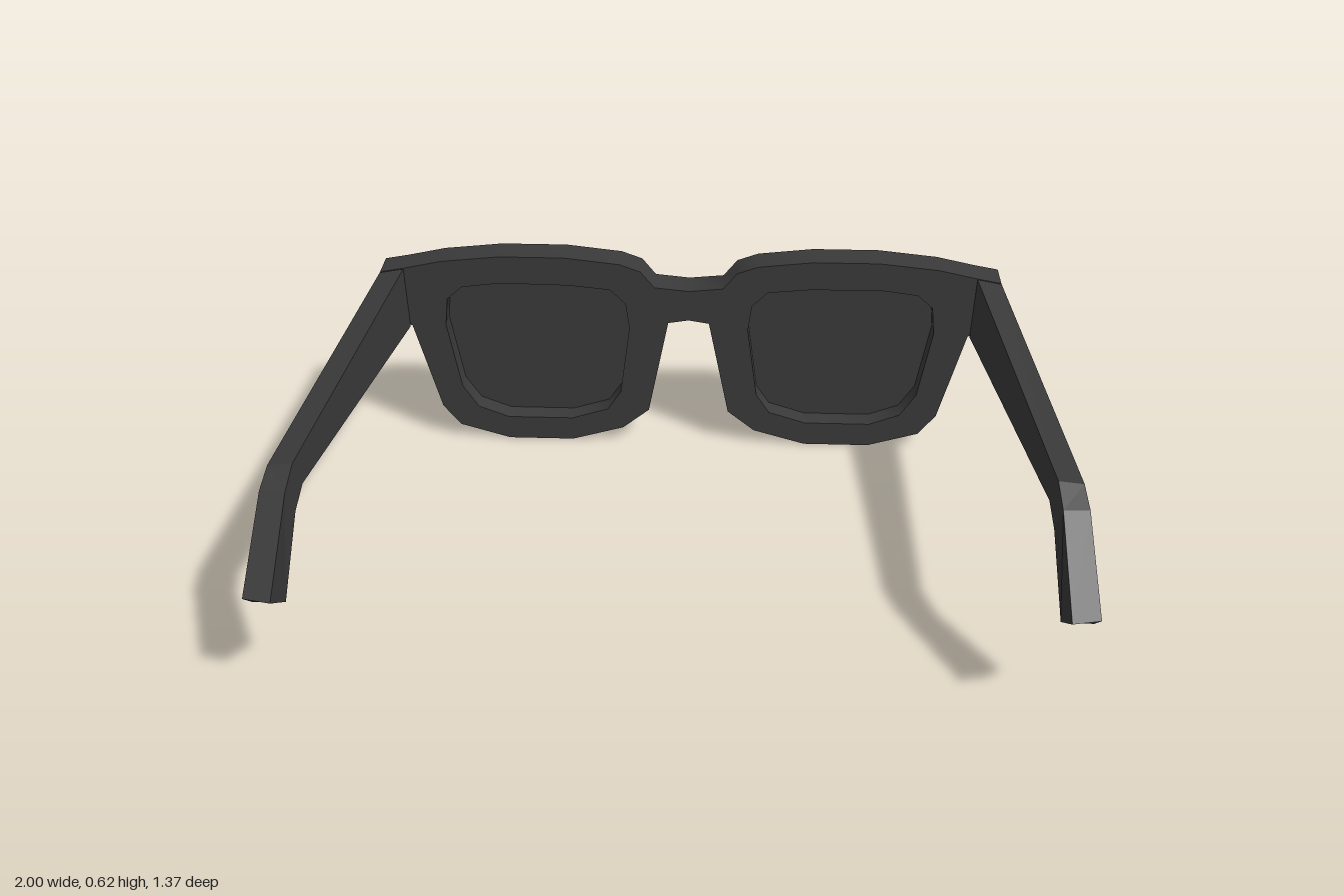
import * as THREE from 'three';
import { toCreasedNormals } from 'three/addons/utils/BufferGeometryUtils.js';

// Half outline of the front frame, from the top of the bridge round to its underside
const HALF_FRAME = [
  [0, 0.515], [0.1, 0.525], [0.14, 0.575], [0.2, 0.597], [0.36, 0.615], [0.55, 0.615],
  [0.72, 0.597], [0.83, 0.573], [0.9, 0.56], [0.9, 0.42], [0.82, 0.385], [0.75, 0.11],
  [0.7, 0.045], [0.55, 0], [0.355, 0], [0.2, 0.045], [0.12, 0.11], [0.06, 0.41], [0, 0.42],
];

// Opening for one lens
const OPENING = [
  [0.35, 0.527], [0.55, 0.53], [0.665, 0.515], [0.71, 0.475], [0.72, 0.39], [0.685, 0.18],
  [0.64, 0.11], [0.55, 0.075], [0.355, 0.075], [0.245, 0.11], [0.205, 0.17],
  [0.175, 0.39], [0.185, 0.47], [0.23, 0.515],
];

// Temple arm cross-sections: outer top, inner top, inner bottom, outer bottom
const ARM = [
  [[0.9, 0.56, -0.59], [0.83, 0.573, -0.59], [0.825, 0.385, -0.59], [0.9, 0.42, -0.59]],
  [[0.968, 0.56, 0.44], [0.905, 0.57, 0.445], [0.9, 0.487, 0.405], [0.968, 0.502, 0.41]],
  [[0.975, 0.53, 0.505], [0.91, 0.535, 0.515], [0.905, 0.453, 0.475], [0.975, 0.465, 0.49]],
  [[1, 0.335, 0.67], [0.93, 0.335, 0.685], [0.93, 0.255, 0.575], [1, 0.277, 0.607]],
];

const toPoints = (list, side = 1) => list.map(([x, y]) => new THREE.Vector2(x * side, y));

// Extruded plate with softened rounded corners and sharp rims
function plate(shape, z, depth) {
  const geometry = new THREE.ExtrudeGeometry(shape, { depth, bevelEnabled: false });
  return toCreasedNormals(geometry.translate(0, 0, z), 0.85);
}

// Lofts the arm sections into a closed, flat-faced bar
function armGeometry(side) {
  const index = [];
  const quad = (a, b, c, d) => {
    if (side > 0) index.push(a, b, c, a, c, d);
    else index.push(a, c, b, a, d, c);
  };
  for (let i = 0; i < ARM.length - 1; i++) {
    for (let j = 0; j < 4; j++) {
      const k = (j + 1) % 4;
      quad(i * 4 + j, i * 4 + k, i * 4 + 4 + k, i * 4 + 4 + j);
    }
  }
  const end = (ARM.length - 1) * 4;
  quad(0, 3, 2, 1);
  quad(end, end + 1, end + 2, end + 3);

  const positions = ARM.flat().flatMap(([x, y, z]) => [x * side, y, z]);
  const indexed = new THREE.BufferGeometry();
  indexed.setAttribute('position', new THREE.Float32BufferAttribute(positions, 3));
  indexed.setIndex(index);
  const geometry = indexed.toNonIndexed();
  geometry.computeVertexNormals();
  return geometry;
}

export function createModel() {
  const group = new THREE.Group();
  group.name = 'glasses';
  const material = new THREE.MeshStandardMaterial({ color: 0x3a3a3a });
  material.name = 'charcoal';

  const add = (name, geometry) => {
    const mesh = new THREE.Mesh(geometry, material);
    mesh.name = name;
    group.add(mesh);
  };

  // Front frame, outlined counter-clockwise, with two clockwise openings
  const mirrored = toPoints(HALF_FRAME.slice(1, -1), -1);
  const outline = new THREE.Shape([...mirrored, ...toPoints(HALF_FRAME).reverse()]);
  outline.holes.push(new THREE.Path(toPoints(OPENING)));
  outline.holes.push(new THREE.Path(toPoints(OPENING, -1).reverse()));
  add('frontFrame', plate(outline, -0.685, 0.09));

  // Recessed lenses and temple arms on both sides
  for (const [side, label] of [[1, 'left'], [-1, 'right']]) {
    add(label + 'Lens', plate(new THREE.Shape(toPoints(OPENING, side)), -0.663, 0.009));
    add(label + 'TempleArm', armGeometry(side));
  }
  return group;
}
